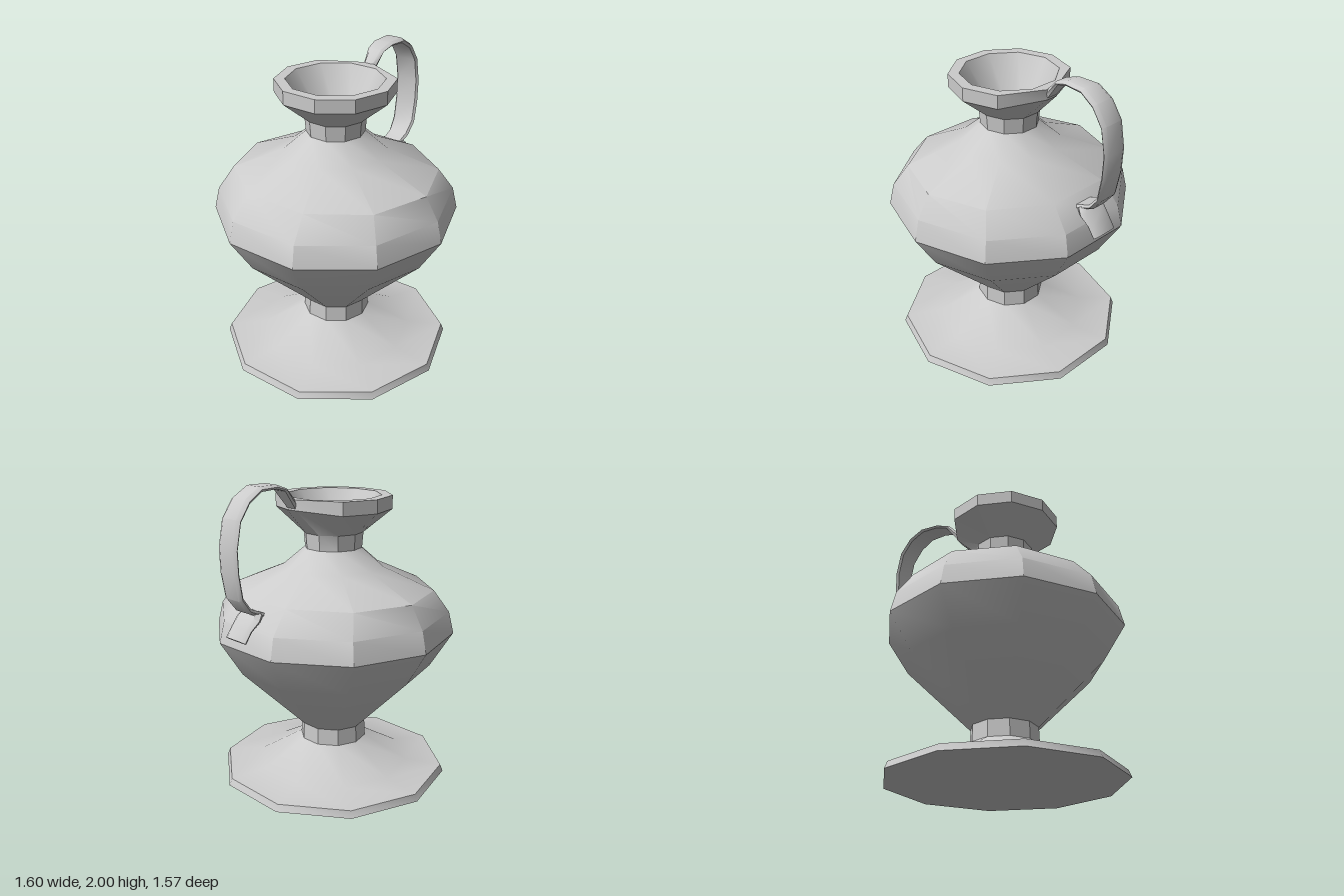
import * as THREE from 'three';
import { toCreasedNormals } from 'three/addons/utils/BufferGeometryUtils.js';

const SIDES = 10;
const AXIS_X = -0.055;
const CREASE = 0.6;
const material = new THREE.MeshStandardMaterial({ color: 0xcccccc });

function addMesh(group, name, geometry, crease = CREASE) {
  const mesh = new THREE.Mesh(toCreasedNormals(geometry, crease), material);
  mesh.name = name;
  group.add(mesh);
}

// Turned body: foot, belly, neck, rim and the funnel inside the mouth
function vesselGeometry() {
  const profile = [
    [0, 0], [0.76, 0.03], [0.742, 0.075], [0.5, 0.1], [0.22, 0.26], [0.216, 0.37],
    [0.642, 0.79], [0.785, 1.02], [0.752, 1.16], [0.665, 1.302], [0.325, 1.44],
    [0.185, 1.56], [0.193, 1.66], [0.373, 1.81], [0.373, 1.895],
    [0.305, 1.895], [0.105, 1.5], [0, 1.5],
  ].map(([r, y]) => new THREE.Vector2(r, y));
  const geometry = new THREE.LatheGeometry(profile, SIDES);
  const pos = geometry.attributes.position;
  for (let i = 0; i < pos.count; i++) {
    const x = pos.getX(i), y = pos.getY(i), z = pos.getZ(i);
    // Shoulder ring is a little narrower from side to side
    if (Math.abs(y - 1.302) < 0.001) pos.setX(i, x * 0.94);
    // Outer lip is pinched where the handle grows out of it
    if (y > 1.8 && x > 0.32) {
      pos.setZ(i, z * 0.34);
      if (y < 1.85) pos.setY(i, 1.83);
    }
  }
  geometry.translate(AXIS_X, 0, 0);
  return geometry;
}

// Six-sided strap; each section is [outer x, outer y, inner x, inner y, half width]
function strapGeometry(sections) {
  const points = [], index = [];
  for (const [ox, oy, ix, iy, w] of sections) {
    const mx = (ox + ix) / 2, my = (oy + iy) / 2;
    points.push(
      ox, oy, w * 0.68, mx, my, w, ix, iy, w * 0.85,
      ix, iy, -w * 0.85, mx, my, -w, ox, oy, -w * 0.68,
    );
  }
  const last = (sections.length - 1) * 6;
  for (let k = 0; k < last; k += 6) {
    for (let j = 0; j < 6; j++) {
      const a = k + j, b = k + (j + 1) % 6;
      index.push(a, b, b + 6, a, b + 6, a + 6);
    }
  }
  for (let j = 1; j < 5; j++) {
    index.push(0, j + 1, j, last, last + j, last + j + 1);
  }
  const geometry = new THREE.BufferGeometry();
  geometry.setAttribute('position', new THREE.Float32BufferAttribute(points, 3));
  geometry.setIndex(index);
  return geometry;
}

export function createModel() {
  const group = new THREE.Group();
  group.name = 'jug';

  addMesh(group, 'vessel', vesselGeometry());

  // Handle arching from the lip down to the shoulder
  addMesh(group, 'handle', strapGeometry([
    [0.295, 1.895, 0.295, 1.835, 0.042],
    [0.37, 1.97, 0.39, 1.955, 0.06],
    [0.46, 2.0, 0.465, 1.975, 0.07],
    [0.59, 2.0, 0.58, 1.97, 0.078],
    [0.69, 1.94, 0.67, 1.915, 0.083],
    [0.765, 1.83, 0.74, 1.815, 0.085],
    [0.797, 1.66, 0.77, 1.66, 0.085],
    [0.792, 1.51, 0.765, 1.52, 0.085],
    [0.765, 1.36, 0.74, 1.375, 0.083],
    [0.70, 1.275, 0.68, 1.3, 0.075],
    [0.59, 1.225, 0.575, 1.255, 0.07],
  ]));

  // Flared tab under the foot of the handle
  addMesh(group, 'handleTab', strapGeometry([
    [0.635, 1.275, 0.595, 1.245, 0.08],
    [0.67, 1.24, 0.635, 1.215, 0.103],
    [0.725, 1.18, 0.69, 1.165, 0.092],
    [0.768, 1.118, 0.738, 1.098, 0.092],
  ]));

  return group;
}
